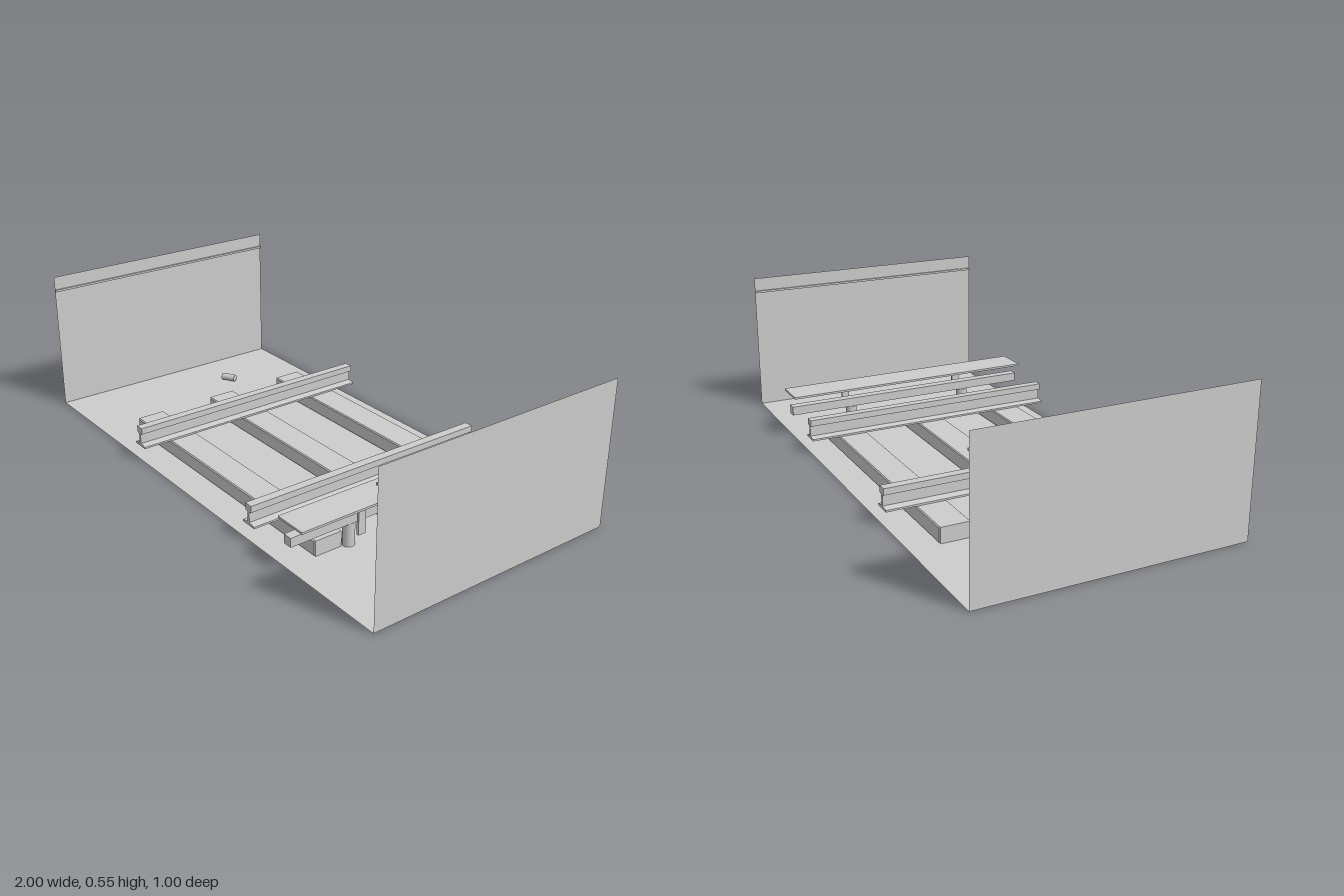
import * as THREE from 'three';

const concrete = new THREE.MeshStandardMaterial({ color: 0xcccccc, side: THREE.DoubleSide });
concrete.name = 'lightGrey';

export function createModel() {
  const group = new THREE.Group();
  group.name = 'railTunnelSection';

  const add = (name, geometry, x, y, z) => {
    const mesh = new THREE.Mesh(geometry, concrete);
    mesh.name = name;
    mesh.position.set(x, y, z);
    group.add(mesh);
    return mesh;
  };
  // box given by its minimum and maximum in each axis
  const box = (name, x0, x1, y0, y1, z0, z1) =>
    add(name, new THREE.BoxGeometry(x1 - x0, y1 - y0, z1 - z0),
      (x0 + x1) / 2, (y0 + y1) / 2, (z0 + z1) / 2);

  // floor and side walls, single sheets
  add('floor', new THREE.PlaneGeometry(2, 1), 0, 0, 0).rotation.x = -Math.PI / 2;
  for (const s of [-1, 1]) {
    const side = s > 0 ? 'left' : 'right';
    add(side + 'Wall', new THREE.PlaneGeometry(1, 0.55), s, 0.275, 0).rotation.y = -s * Math.PI / 2;
    box(side + 'WallCable', s * 0.996 - 0.004, s * 0.996 + 0.004, 0.489, 0.497, -0.5, 0.5);
  }

  // sleepers with small chamfers
  const bevel = 0.004, length = 1.145, height = 0.058, depth = 0.114;
  const block = new THREE.Shape([
    new THREE.Vector2(-length / 2 + bevel, bevel),
    new THREE.Vector2(length / 2 - bevel, bevel),
    new THREE.Vector2(length / 2 - bevel, height - bevel),
    new THREE.Vector2(-length / 2 + bevel, height - bevel),
  ]);
  const sleeper = new THREE.ExtrudeGeometry(block, {
    depth: depth - 2 * bevel, bevelSize: bevel, bevelThickness: bevel, bevelSegments: 1,
  });
  sleeper.translate(0, 0, -depth / 2 + bevel);
  for (const z of [-0.335, -0.002, 0.331]) add('sleeper', sleeper, -0.002, 0, z);

  // running rails: foot, web and head in one section
  const half = [[0.033, 0.058], [0.033, 0.065], [0.005, 0.07], [0.005, 0.108], [0.017, 0.112], [0.017, 0.136]];
  const outline = [...half, ...half.map(([x, y]) => [-x, y]).reverse()];
  const section = new THREE.Shape(outline.map(([x, y]) => new THREE.Vector2(x, y)));
  const rail = new THREE.ExtrudeGeometry(section, { depth: 1, bevelEnabled: false });
  rail.translate(0, 0, -0.5);
  for (const x of [-0.36, 0.358]) add('runningRail', rail, x, 0, 0);

  // power rail, its cover board and the supports
  box('powerRail', 0.557, 0.593, 0.088, 0.122, -0.5, 0.5);
  box('coverBoard', 0.525, 0.653, 0.164, 0.172, -0.5, 0.5);
  for (const z of [-0.25, 0.25]) {
    add('insulator', new THREE.CylinderGeometry(0.022, 0.022, 0.088, 16), 0.573, 0.044, z);
    box('coverBracket', 0.632, 0.642, 0.07, 0.164, z - 0.015, z + 0.015);
  }

  // discarded can lying on the floor
  const can = add('can', new THREE.CylinderGeometry(0.0145, 0.0145, 0.058, 20), -0.775, 0.02, -0.17);
  can.rotation.set(0, Math.PI / 6, Math.PI / 2);
  can.rotation.order = 'YXZ';

  return group;
}
